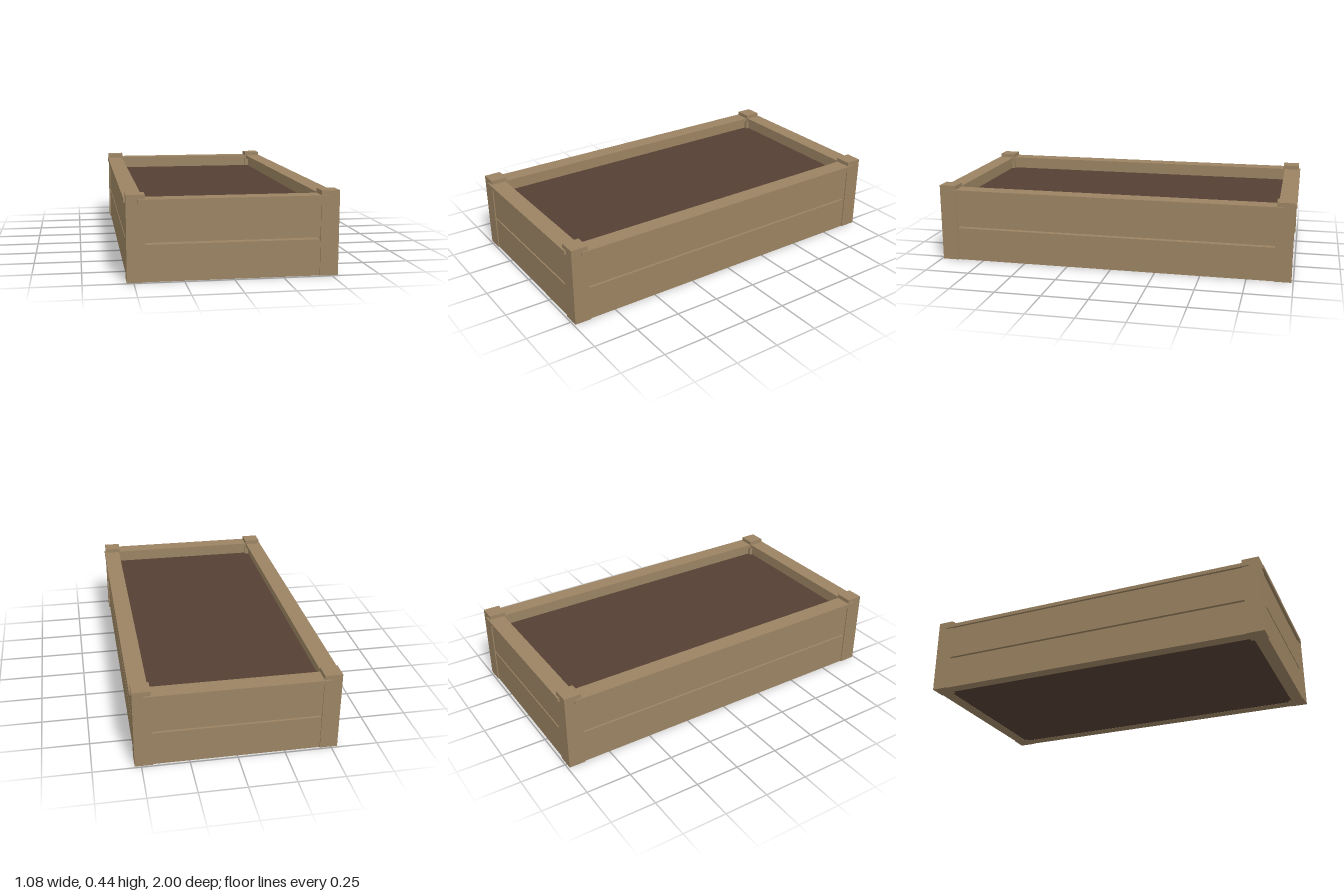
import * as THREE from 'three';

const wood = new THREE.MeshStandardMaterial({ color: 0x9b8362 });
wood.name = 'wood';
const soil = new THREE.MeshStandardMaterial({ color: 0x553f33 });
soil.name = 'soil';

// Box given by its minimum and maximum corners
function box(name, material, min, max) {
  const size = max.map((v, i) => v - min[i]);
  const mesh = new THREE.Mesh(new THREE.BoxGeometry(...size), material);
  mesh.position.set(...max.map((v, i) => (v + min[i]) / 2));
  mesh.name = name;
  return mesh;
}

// The same box on both sides of the bed along one axis (0 = x, 2 = z)
function mirrored(group, name, axis, min, max) {
  group.add(box(name, wood, min, max));
  const lo = [...min], hi = [...max];
  lo[axis] = -max[axis];
  hi[axis] = -min[axis];
  group.add(box(name, wood, lo, hi));
}

export function createModel() {
  const bed = new THREE.Group();
  bed.name = 'raisedGardenBed';

  // Corner posts
  for (const z of [-0.99, 0.897]) {
    mirrored(bed, 'cornerPost', 0, [0.44, 0, z], [0.534, 0.435, z + 0.093]);
  }

  // Two stacked boards per wall with a narrow gap between them
  for (const [y0, y1] of [[0, 0.187], [0.197, 0.392]]) {
    mirrored(bed, 'sideBoard', 0, [0.462, y0, -0.9], [0.528, y1, 0.9]);
    mirrored(bed, 'endBoard', 2, [-0.442, y0, 0.915], [0.442, y1, 0.984]);
  }

  // Cap rails, slightly overhanging the boards
  mirrored(bed, 'sideCap', 0, [0.446, 0.391, -0.934], [0.542, 0.412, 0.934]);
  mirrored(bed, 'endCap', 2, [-0.478, 0.391, 0.904], [0.478, 0.412, 1]);

  // Soil filling
  bed.add(box('soilFill', soil, [-0.464, 0.001, -0.917], [0.464, 0.34, 0.917]));

  return bed;
}
